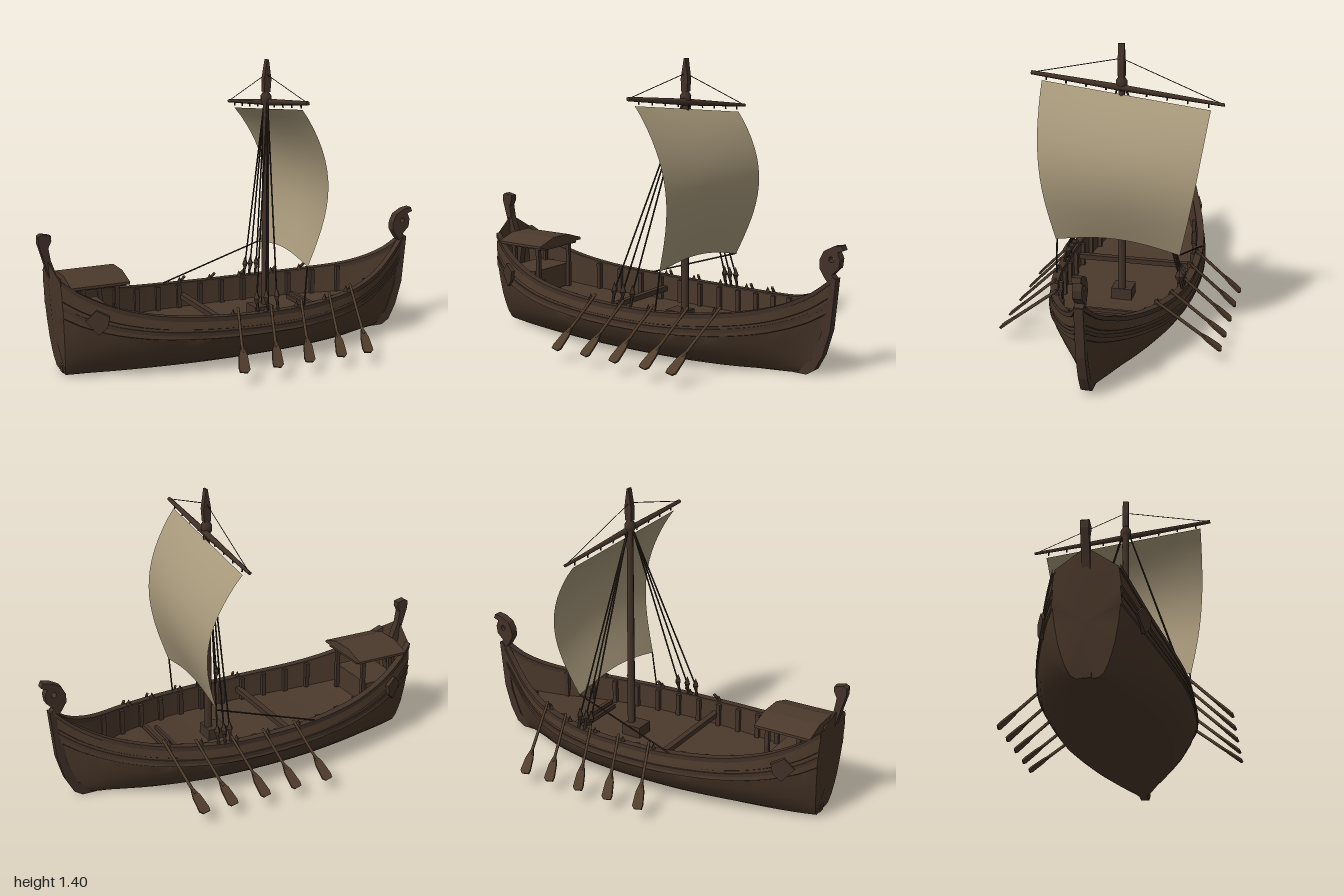
import * as THREE from 'three';
import { toCreasedNormals } from 'three/addons/utils/BufferGeometryUtils.js';

const V = (x, y, z) => new THREE.Vector3(x, y, z);
const mat = (name, color, side = THREE.FrontSide) => {
  const m = new THREE.MeshStandardMaterial({ color, side });
  m.name = name;
  return m;
};

export function createModel() {
  const ship = new THREE.Group();
  ship.name = 'sailingShip';
  const hullWood = mat('hullWood', 0x493729, THREE.DoubleSide);
  const deckWood = mat('deckWood', 0x4b392c);
  const trimWood = mat('trimWood', 0x423228);
  const oarWood = mat('oarWood', 0x503d2c);
  const ropeMat = mat('rope', 0x2f261e);
  const sailCloth = mat('sailCloth', 0xa8997b, THREE.DoubleSide);

  const add = (name, geo, material, parent = ship) => {
    const m = new THREE.Mesh(geo, material);
    m.name = name;
    parent.add(m);
    return m;
  };
  const box = (name, w, h, d, x, y, z, material) => {
    const m = add(name, new THREE.BoxGeometry(w, h, d), material);
    m.position.set(x, y, z);
    return m;
  };
  const up = V(0, 1, 0);
  const rod = (name, a, b, r1, r2, material, sides = 6) => {
    const m = add(name, new THREE.CylinderGeometry(r2, r1, a.distanceTo(b), sides), material);
    m.position.copy(a).add(b).multiplyScalar(0.5);
    m.quaternion.setFromUnitVectors(up, b.clone().sub(a).normalize());
    return m;
  };
  const plate = (name, pts, depth, material, hole) => {
    const s = new THREE.Shape(pts.map(p => new THREE.Vector2(...p)));
    if (hole) s.holes.push(new THREE.Path().absarc(...hole, 0, Math.PI * 2, true));
    const g = new THREE.ExtrudeGeometry(s, { depth, bevelEnabled: false, curveSegments: 6 });
    return add(name, g.translate(0, 0, -depth / 2), material);
  };

  // Hull lines: (top x, sheer height, half beam) and (keel x, flat half width)
  const topLine = new THREE.CatmullRomCurve3([[-0.94, 0.465, 0.138], [-0.85, 0.4, 0.183], [-0.7, 0.332, 0.238],
    [-0.5, 0.285, 0.293], [-0.25, 0.263, 0.335], [0, 0.255, 0.345], [0.25, 0.257, 0.328], [0.5, 0.275, 0.258],
    [0.7, 0.31, 0.153], [0.85, 0.375, 0.062], [0.955, 0.46, 0.012]].map(p => V(...p)), false, 'catmullrom');
  const keelLine = new THREE.CatmullRomCurve3([[-0.9, 0.045], [-0.82, 0.06], [-0.68, 0.08], [-0.49, 0.1], [-0.25, 0.12],
    [0, 0.125], [0.24, 0.115], [0.46, 0.09], [0.62, 0.055], [0.73, 0.028], [0.8, 0.008]].map(p => V(p[0], 0, p[1])), false, 'catmullrom');
  const N = 36;
  const stations = Array.from({ length: N + 1 }, (_, i) => {
    const a = topLine.getPoint(i / N), k = keelLine.getPoint(i / N);
    return { x: a.x, s: a.y, w: a.z, xb: k.x, b: k.z, deck: 0.14 + (a.y - 0.255) * 0.5 };
  });
  const hullX = (st, v) => st.x + (st.xb - st.x) * (1 - Math.sqrt(Math.max(0, Math.min(1, v))));
  const at = x => {
    const i = Math.max(1, stations.findIndex(q => q.x >= x)), a = stations[i - 1], b = stations[i];
    const t = (x - a.x) / (b.x - a.x), mix = k => a[k] + (b[k] - a[k]) * t;
    return { s: mix('s'), w: mix('w'), deck: mix('deck') };
  };

  // Skin between successive cross-sections, with optional fan at the first one
  const loft = (rows, crease, fanCentre) => {
    const m = rows[0].length, pos = rows.flat().flatMap(p => p.toArray()), idx = [];
    for (let i = 0; i < rows.length - 1; i++) for (let j = 0; j < m - 1; j++) {
      const a = i * m + j, b = a + m;
      idx.push(a, b, b + 1, a, b + 1, a + 1);
    }
    if (fanCentre) {
      const c = pos.length / 3;
      pos.push(...fanCentre.toArray(), -0.962, 0.55, 0);
      for (let j = 0; j < m - 1; j++) idx.push(c, j, j + 1);
      idx.push(c, m - 1, c + 1, c, c + 1, 0);
    }
    const g = new THREE.BufferGeometry();
    g.setAttribute('position', new THREE.Float32BufferAttribute(pos, 3));
    g.setIndex(idx);
    return toCreasedNormals(g, crease);
  };

  // Outer planking with round bilge and stepped strakes, as [height share, beam share, overlap]
  const section = [[0, 0, 0], [0.03, 0.24, 0], [0.11, 0.45, 0], [0.21, 0.62, 0], [0.32, 0.77, 0], [0.48, 0.91, 0],
    [0.64, 0.985, 0.002], [0.65, 0.985, 0.008], [0.81, 0.975, 0.002], [0.82, 0.975, 0.007], [1, 0.94, 0]];
  add('hull', loft(stations.map(st => {
    const half = section.map(([v, k, o]) => V(hullX(st, v), v * st.s, st.b + (st.w - st.b) * k + o));
    return [...half.map(p => V(p.x, p.y, -p.z)).reverse(), ...half];
  }), 0.6, V(-0.94, 0.22, 0)), hullWood);

  // Inner walls and deck
  add('deck', loft(stations.map(st => {
    const z = Math.max(0.004, st.w * 0.93 - 0.022), v = st.deck / st.s;
    const half = [V(st.x, st.s, z), V(hullX(st, v), st.deck, z)];
    return [...half, ...half.map(p => V(p.x, p.y, -p.z)).reverse()];
  }), 0.45), deckWood);

  // Gunwale rails and outer wales
  const strip = (name, side, v, k, zin, zout, lo, hi) => add(name, loft(stations.map(st => {
    const z = st.b + (st.w - st.b) * k, y = st.s * v, x = hullX(st, v), i = Math.max(0, z + zin), o = z + zout;
    const loop = [[i, lo], [o, lo], [o, hi], [i, hi], [i, lo]].map(p => V(x, y + p[1], p[0] * side));
    return side > 0 ? loop : loop.reverse();
  }), 0.45), trimWood);
  for (const side of [1, -1]) {
    strip('gunwale', side, 1, 0.94, -0.028, 0.008, -0.014, 0.008);
    strip('wale', side, 0.74, 0.98, -0.01, 0.01, -0.009, 0.009);
    // Ribs along the inner walls
    for (let x = -0.55; x < 0.7; x += 0.12) {
      const q = at(x), h = q.s - q.deck;
      box('rib', 0.022, h, 0.02, x, q.deck + h / 2, side * (q.w * 0.93 - 0.03), trimWood);
    }
    // Quarter plates for the steering gear, lying along the hull
    const q = plate('steeringBracket', [[-0.06, 0.01], [-0.01, 0.06], [0.05, 0.03], [0.04, -0.02], [0, -0.055]], 0.022, trimWood);
    q.position.set(-0.79, 0.28, side * 0.21);
    q.rotation.y = -side * 0.42;
  }

  // Stem with curled head, and stern post
  plate('stem', [[0.76, 0], [0.83, 0], [0.87, 0.025], [0.91, 0.1], [0.945, 0.22], [0.968, 0.46], [0.93, 0.46],
    [0.9, 0.2], [0.85, 0.07], [0.76, 0.02]], 0.042, trimWood);
  plate('curledHead', [[0.935, 0.43], [0.967, 0.45], [0.945, 0.475], [0.98, 0.51], [0.985, 0.55], [0.972, 0.58], [1, 0.59],
    [0.99, 0.612], [0.95, 0.605], [0.905, 0.58], [0.885, 0.54], [0.885, 0.5], [0.91, 0.46]], 0.042, trimWood, [0.942, 0.545, 0.013]);
  plate('sternPost', [[-0.905, 0], [-0.94, 0.4], [-0.965, 0.5], [-1, 0.62], [-1, 0.655], [-0.985, 0.665], [-0.94, 0.655],
    [-0.94, 0.63], [-0.955, 0.6], [-0.945, 0.54], [-0.92, 0.47], [-0.87, 0.41], [-0.89, 0.3], [-0.885, 0]], 0.036, trimWood);

  // Stern shelter: locker, posts and gently pitched roof
  box('locker', 0.2, 0.12, 0.28, -0.78, 0.24, 0, deckWood);
  for (const z of [-0.12, 0.12]) for (const x of [-0.67, -0.83]) box('shelterPost', 0.02, 0.26, 0.02, x, 0.31, z, trimWood);
  box('roofBeam', 0.25, 0.02, 0.26, -0.75, 0.425, 0, trimWood);
  const roof = plate('shelterRoof', [[-0.162, 0.428], [0.162, 0.428], [0.162, 0.44], [0.06, 0.472], [-0.06, 0.472], [-0.162, 0.44]], 0.28, deckWood);
  roof.rotation.y = Math.PI / 2;
  roof.position.x = -0.76;

  // Deck beams and mast step
  box('crossBeam', 0.03, 0.025, 0.6, -0.17, 0.2, 0, trimWood);
  box('thwart', 0.02, 0.02, 0.4, 0.41, 0.165, 0, trimWood);
  box('thwart', 0.015, 0.02, 0.32, 0.365, 0.165, 0, trimWood);
  box('mastStep', 0.1, 0.06, 0.1, 0.125, 0.165, 0, trimWood);

  // Mast with collar and wedge-shaped head
  const mast = add('mast', new THREE.LatheGeometry([[0.02, 0.14], [0.016, 1.19], [0.027, 1.205], [0.027, 1.232], [0.015, 1.25],
    [0.013, 1.3]].map(p => new THREE.Vector2(...p)), 8), trimWood);
  mast.position.x = 0.153;
  plate('mastHead', [[0.137, 1.25], [0.169, 1.25], [0.174, 1.31], [0.16, 1.405], [0.152, 1.405], [0.135, 1.31]], 0.03, trimWood);

  // Tilted yard with its lifts
  const yardA = V(0.14, 1.242, 0.435), yardB = V(0.185, 1.153, -0.482), yardM = V(0.165, 1.2, 0);
  rod('yard', yardM, yardA, 0.016, 0.01, trimWood);
  rod('yard', yardM, yardB, 0.016, 0.008, trimWood);
  for (const e of [yardA, yardB]) rod('yardLift', V(0.153, 1.335, 0), e, 0.002, 0.002, ropeMat, 4);
  for (let i = 0; i < 9; i++) {
    const p = yardA.clone().lerp(yardB, 0.08 + i * 0.105);
    rod('sailTie', p, V(p.x + 0.003, p.y - 0.024, p.z), 0.004, 0.004, ropeMat, 4);
  }

  // Billowing sail
  const cloth = new THREE.PlaneGeometry(1, 1, 14, 16), P = cloth.attributes.position;
  for (let i = 0; i < P.count; i++) {
    const u = P.getX(i) + 0.5, v = 0.5 - P.getY(i), arch = Math.sin(Math.PI * u), belly = Math.sin(Math.PI * v);
    const left = 0.385 - 0.075 * v + 0.018 * belly, right = -0.42 + 0.12 * v - 0.016 * belly;
    const z = left + (right - left) * u;
    const yTop = 1.207 - 0.082 * u, yBottom = 0.447 - 0.015 * u + 0.04 * arch;
    const x = 0.163 + 0.075 * v + (0.115 + 0.015 * arch) * Math.sin(Math.PI * Math.pow(v, 0.9)) - 0.058 * z;
    P.setXYZ(i, x, yTop + (yBottom - yTop) * v, z);
  }
  cloth.computeVertexNormals();
  add('sail', cloth, sailCloth);

  // Shrouds ending in blocks, plus the sheet
  const shrouds = { 1: [-0.045, 0.005, 0.06], '-1': [0.19, 0.22, 0.255] };
  for (const side of [1, -1]) for (const x of shrouds[side]) {
    const foot = V(x, 0.26, side * 0.315), block = V(x, 0.325, side * 0.3);
    rod('shroud', block, V(0.153, 1.215, side * 0.015), 0.004, 0.004, ropeMat, 5);
    rod('lanyard', foot, block, 0.007, 0.007, ropeMat, 5);
    const b = add('block', new THREE.OctahedronGeometry(0.02), trimWood);
    b.scale.set(0.8, 2, 1.2);
    b.position.copy(block);
  }
  rod('sheet', V(0.255, 0.435, -0.3), V(-0.27, 0.268, -0.32), 0.004, 0.004, ropeMat, 5);
  rod('tackLine', V(0.22, 0.45, 0.305), V(0.2, 0.26, 0.315), 0.004, 0.004, ropeMat, 5);

  // Five oars a side, blades flat along the ship, with tholes on the rail
  const blade = [[-0.006, -0.13], [0.006, -0.13], [0.021, -0.085], [0.027, -0.015], [0.015, 0], [-0.022, 0], [-0.026, -0.02], [-0.02, -0.085]];
  for (const side of [1, -1]) for (const x of [-0.22, -0.05, 0.115, 0.285, 0.43]) {
    const q = at(x + 0.06), tip = V(x, 0.06, side * 0.53);
    const a = V(x + 0.072, q.s + 0.035, side * (q.w - 0.03)), dir = tip.clone().sub(a).normalize();
    rod('oarShaft', a, tip.clone().addScaledVector(dir, -0.1), 0.007, 0.008, oarWood);
    const b = plate('oarBlade', blade, 0.009, oarWood);
    const across = V(1, 0, 0).addScaledVector(dir, -dir.x).normalize();
    b.quaternion.setFromRotationMatrix(new THREE.Matrix4().makeBasis(across, dir, across.clone().cross(dir)));
    b.position.copy(tip);
    const t = add('thole', new THREE.ConeGeometry(0.018, 0.035, 4), trimWood);
    t.position.set(x + 0.045, q.s + 0.018, side * (q.w * 0.95 - 0.01));
  }
  return ship;
}
